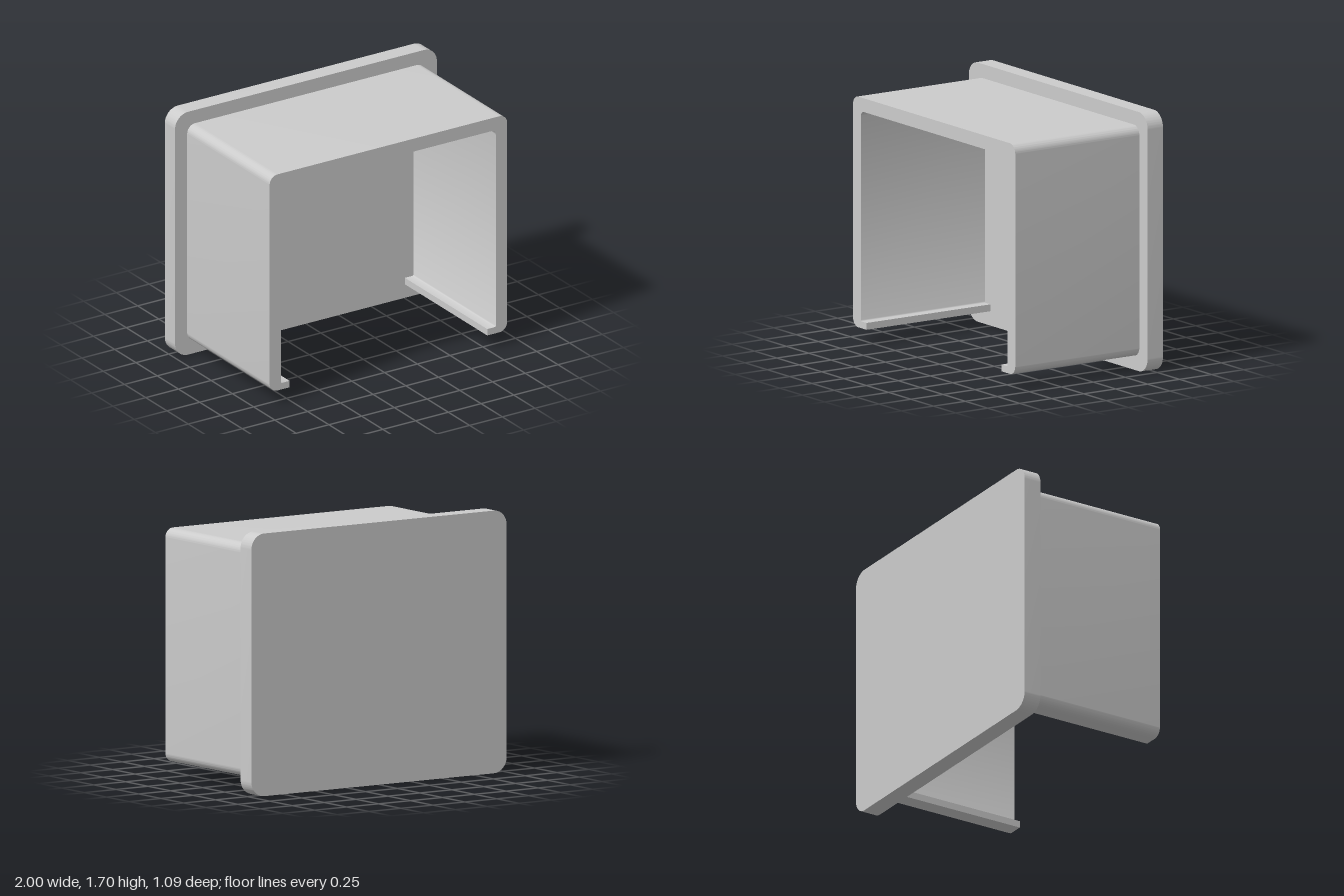
import * as THREE from 'three';
import { toCreasedNormals } from 'three/addons/utils/BufferGeometryUtils.js';

const material = new THREE.MeshStandardMaterial({ color: 0xcccccc });

// Closed outline through corners [x, y, radius], each rounded by its radius
function roundedOutline(corners) {
  const shape = new THREE.Shape();
  const n = corners.length;
  corners.forEach(([x, y, r], i) => {
    const p = new THREE.Vector2(x, y);
    const toward = ([qx, qy]) =>
      new THREE.Vector2(qx, qy).sub(p).normalize().multiplyScalar(r).add(p);
    const a = toward(corners[(i + n - 1) % n]);
    const b = toward(corners[(i + 1) % n]);
    if (i === 0) shape.moveTo(a.x, a.y);
    else shape.lineTo(a.x, a.y);
    if (r > 0) {
      // circular arc about the corner's inner centre
      const c = a.clone().add(b).sub(p);
      const start = Math.atan2(a.y - c.y, a.x - c.x);
      const end = Math.atan2(b.y - c.y, b.x - c.x);
      const turn = (a.x - c.x) * (b.y - c.y) - (a.y - c.y) * (b.x - c.x);
      shape.absarc(c.x, c.y, r, start, end, turn < 0);
    }
  });
  shape.closePath();
  return shape;
}

// Extrude an outline from zBack to zFront
function slab(name, corners, zBack, zFront) {
  const geometry = new THREE.ExtrudeGeometry(roundedOutline(corners), {
    depth: zFront - zBack, bevelEnabled: false, curveSegments: 12,
  });
  geometry.translate(0, 0, zBack);
  const mesh = new THREE.Mesh(toCreasedNormals(geometry, 0.6), material);
  mesh.name = name;
  return mesh;
}

export function createModel() {
  const group = new THREE.Group();
  group.name = 'cover';

  // Wide plate closing the back
  group.add(slab('backPlate',
    [[-1, 0, 0.1], [1, 0, 0.1], [1, 1.7, 0.1], [-1, 1.7, 0.1]], -0.545, -0.425));

  // Channel open at the front and below, with small inturned lips
  const rightHalf = [
    [0.755, 0.14, 0], [0.755, 0.095, 0], [0.907, 0.095, 0.06],
    [0.907, 1.608, 0.06],
  ];
  const inner = [[0.82, 1.518, 0.035], [0.82, 0.14, 0.008]];
  const mirror = (list) => list.map(([x, y, r]) => [-x, y, r]).reverse();
  group.add(slab('channel',
    [...rightHalf, ...mirror(rightHalf), ...mirror(inner), ...inner], -0.425, 0.545));

  return group;
}
